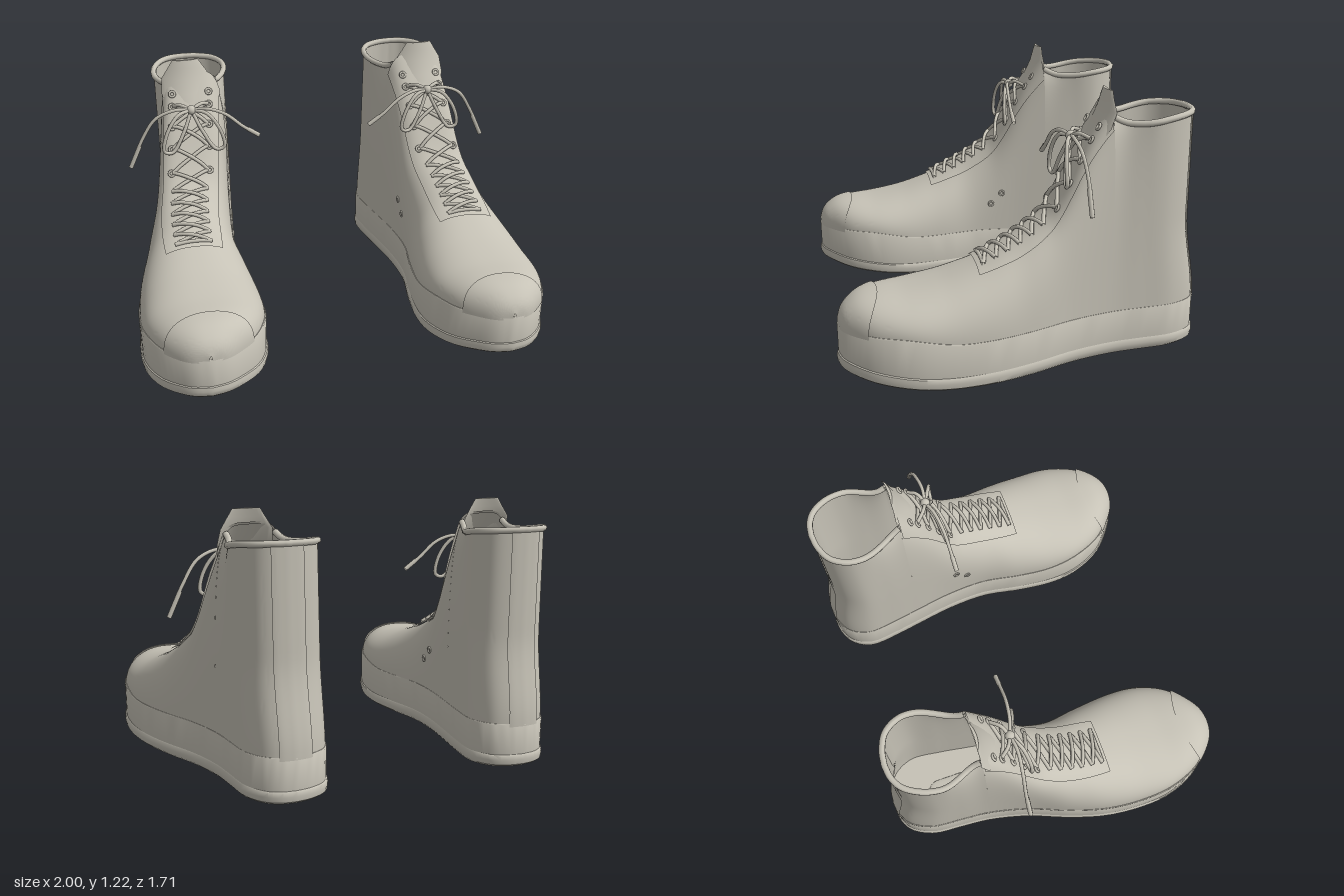
import * as THREE from 'three';
import { toCreasedNormals } from 'three/addons/utils/BufferGeometryUtils.js';

const V = (x, y, z) => new THREE.Vector3(x, y, z);
const step = THREE.MathUtils.smoothstep;
const lerp = THREE.MathUtils.lerp;

// Smooth curve y(x) through a few [x, y] knots
function spline(k) {
  const slope = (i) => {
    const a = k[Math.max(i - 1, 0)], b = k[Math.min(i + 1, k.length - 1)];
    return (b[1] - a[1]) / (b[0] - a[0]);
  };
  return (x) => {
    x = Math.min(Math.max(x, k[0][0]), k[k.length - 1][0]);
    let i = 0;
    while (i < k.length - 2 && x > k[i + 1][0]) i++;
    const w = k[i + 1][0] - k[i][0], t = (x - k[i][0]) / w, t2 = t * t, t3 = t2 * t;
    return (2 * t3 - 3 * t2 + 1) * k[i][1] + (t3 - 2 * t2 + t) * w * slope(i)
      + (3 * t2 - 2 * t3) * k[i + 1][1] + (t3 - t2) * w * slope(i + 1);
  };
}

// Surface from a function of (u, v), both 0..1
function grid(nu, nv, fn, crease = 0.7) {
  const pos = [], idx = [];
  for (let j = 0; j <= nv; j++)
    for (let i = 0; i <= nu; i++) pos.push(...fn(i / nu, j / nv).toArray());
  for (let j = 0; j < nv; j++)
    for (let i = 0; i < nu; i++) {
      const a = j * (nu + 1) + i, b = a + nu + 1;
      idx.push(a, a + 1, b, a + 1, b + 1, b);
    }
  const g = new THREE.BufferGeometry();
  g.setAttribute('position', new THREE.Float32BufferAttribute(pos, 3));
  g.setIndex(idx);
  return toCreasedNormals(g, crease);
}

// Plan outline of the shoe: inner edge, outer edge, z
const outline = new THREE.CatmullRomCurve3([
  [0.575, 0.575, -0.857], [0.5, 0.645, -0.845], [0.42, 0.71, -0.8], [0.372, 0.76, -0.7],
  [0.385, 0.775, -0.55], [0.41, 0.79, -0.4], [0.44, 0.84, -0.2], [0.445, 0.92, 0],
  [0.41, 0.98, 0.2], [0.39, 1.0, 0.4], [0.405, 0.99, 0.55], [0.47, 0.935, 0.7],
  [0.575, 0.85, 0.8], [0.64, 0.79, 0.84], [0.715, 0.715, 0.857],
].map((p) => V(...p)));

function plan(u, inset) {
  const p = outline.getPoint(u);
  return { c: (p.x + p.y) / 2, hw: (p.y - p.x) / 2 * (1 - inset / 0.3), z: p.z * (1 - inset / 0.857) };
}
function uAt(z) {
  let a = 0, b = 1;
  for (let i = 0; i < 30; i++) {
    const m = (a + b) / 2;
    if (plan(m, 0.012).z < z) a = m; else b = m;
  }
  return a;
}

const ridge = spline([[-0.39, 1.15], [-0.34, 1.07], [-0.29, 0.99], [-0.24, 0.9], [-0.2, 0.82], [-0.15, 0.73],
  [-0.1, 0.665], [0, 0.595], [0.1, 0.54], [0.2, 0.49], [0.3, 0.452], [0.4, 0.42], [0.55, 0.39],
  [0.68, 0.38], [0.75, 0.365], [0.8, 0.335], [0.83, 0.3], [0.847, 0.255]]);
const collar = spline([[-0.84, 1.11], [-0.7, 1.1], [-0.55, 1.08], [-0.47, 1.08], [-0.42, 1.095], [-0.39, 1.11]]);
const toeSpring = (z) => 0.05 * Math.pow(Math.max(0, z - 0.35) / 0.5, 1.5);
const lipTop = (z) => 0.065 + toeSpring(z);
const bandTop = (z) => 0.21 + 0.04 * step(z, 0.3, 0.62);
const base = (z) => bandTop(z) - 0.015;
const power = (z) => lerp(4.5, 2.3, step(z, -0.39, 0.1));
const uc = uAt(-0.39);

// Point on the closed front of the upper; q runs -1..1 across the width
function front(u, q, off = 0) {
  const { c, hw, z } = plan(u, 0.012), p = power(z), b = base(z);
  const s = Math.pow(Math.max(0, 1 - Math.abs(q) ** p), 1 / p);
  const taper = 1 - 0.06 * s * step(-z, 0, 0.39);
  return V(c + q * (hw + off) * taper, b + s * (ridge(z) + off - b), z + off * 0.6);
}
// Point on the open ankle shaft; w runs -1..1 around the heel
function shaft(w, v, off = 0) {
  const { c, hw, z } = plan(Math.abs(w) * uc, 0.012), b = base(z), p = 4.5;
  const y = b + v * (collar(z) - b), blend = step(z, -0.62, -0.39);
  const f = lerp(1 - 0.03 * v, Math.pow(1 - (0.96 * v) ** p, 1 / p) * (1 - 0.06 * v), blend);
  const zz = z - (z + 0.39) * 0.11 * step(y, 0.2, 0.62) - off;
  return V(c + Math.sign(w) * (hw + off) * f + 0.012 * v * (1 - blend), y, zz);
}

// Closed band around the outline from rows of [inset, height(z)]
function band(rows) {
  return grid(96, rows.length - 1, (t, v) => {
    const [d, y] = rows[Math.round(v * (rows.length - 1))];
    const a = t * 2, o = plan(a <= 1 ? a : 2 - a, d);
    return V(o.c + (a <= 1 ? 1 : -1) * o.hw, y(o.z), o.z);
  });
}

function createShoe(mat) {
  const shoe = new THREE.Group();
  const add = (name, geo) => {
    const m = new THREE.Mesh(geo, mat);
    m.name = name;
    shoe.add(m);
    return m;
  };
  const tube = (name, pts, r, n = 24) =>
    add(name, new THREE.TubeGeometry(new THREE.CatmullRomCurve3(pts), n, r, 8));

  // Sole, rubber band and insole
  add('outsole', band([[0.3, toeSpring], [0.02, toeSpring], [0.004, (z) => toeSpring(z) + 0.012],
    [0, (z) => lipTop(z) - 0.03], [0.003, (z) => lipTop(z) - 0.01], [0.014, lipTop]]));
  add('midsoleBand', band([[0.008, (z) => lipTop(z) - 0.008], [0.006, (z) => bandTop(z) - 0.006],
    [0.01, bandTop], [0.07, bandTop]]));
  add('insole', band([[0.02, () => 0.215], [0.3, () => 0.215]]));
  const pad = add('heelPad', new THREE.CapsuleGeometry(0.055, 0.3, 6, 16).rotateX(Math.PI / 2));
  pad.scale.y = 0.1;
  pad.position.set(0.59, 0.216, -0.45);

  // Upper
  add('vamp', grid(48, 70, (t, v) => {
    const u = lerp(uc, 1, v), a = Math.sin((t - 0.5) * Math.PI);
    return front(u, Math.sign(a) * Math.abs(a) ** (2 / power(plan(u, 0).z)));
  }, 1.2));
  add('ankleShaft', grid(80, 24, (t, v) => shaft(t * 2 - 1, v), 1.2));
  add('heelStrip', grid(16, 24, (t, v) => shaft((t * 2 - 1) * 0.2, v, 0.006), 1.2));
  const rim = [];
  for (let i = 0; i <= 40; i++) rim.push(shaft(i / 20 - 1, 1));
  tube('collarRim', rim, 0.015, 100);
  const u0 = uAt(0.665);
  add('toeCap', grid(40, 24, (t, v) => {
    const a = Math.sin((t - 0.5) * Math.PI), q = Math.sign(a) * Math.abs(a) ** 0.87;
    return front(lerp(u0 + 0.035 * q * q, 1, v), q, 0.007);
  }, 1.2));

  // Lacing panel and tongue
  const uPanel = uAt(0.23);
  add('lacingPanel', grid(24, 40, (t, v) =>
    front(lerp(uPanel, uc, v), (t * 2 - 1) * lerp(0.48, 0.82, v), 0.008), 1.2));
  const rows = [[0.96, -0.275, 0.11], [1.06, -0.325, 0.13], [1.13, -0.358, 0.122], [1.18, -0.372, 0.09], [1.22, -0.383, 0.065]];
  add('tongue', grid(32, rows.length, (t, v) => {
    const k = Math.round(v * rows.length), [y, z, w] = rows[Math.min(k, rows.length - 1)];
    const a = t * Math.PI * 2, s = Math.cos(a), thick = k === rows.length ? 0 : 0.007;
    return V(0.622 + s * w, y, z - 0.35 * (s * w) ** 2 / 0.13 + Math.sin(a) * thick);
  }, 1));

  // Criss-cross laces and eyelets
  const zs = [0.2, 0.145, 0.09, 0.035, -0.02, -0.075, -0.14, -0.2, -0.25, -0.3];
  const onLace = (z, dx, off) => {
    const u = uAt(z);
    return front(u, dx / plan(u, 0.012).hw, off);
  };
  for (let i = 0; i < zs.length - 1; i++)
    for (const s of [-1, 1]) {
      const pts = [];
      for (let k = 0; k <= 6; k++) {
        const t = k / 6;
        pts.push(onLace(lerp(zs[i], zs[i + 1], t), s * lerp(-0.085, 0.085, t),
          0.012 + Math.sin(t * Math.PI) * (s > 0 ? 0.014 : 0.004)));
      }
      tube('lace', pts, 0.0095, 12);
    }
  tube('laceBar', [-0.085, -0.03, 0.03, 0.085].map((dx) => onLace(0.2, dx, 0.014)), 0.0095, 10);
  for (const z of [-0.14, -0.2, -0.25, -0.3, -0.335])
    for (const s of [-1, 1]) {
      const e = add('eyelet', new THREE.TorusGeometry(0.014, 0.006, 8, 16));
      e.position.copy(onLace(z, s * 0.092, 0.012));
      e.rotation.x = -0.5;
    }

  // Bow: knot, two hanging loops, two loose ends with tips
  const knot = V(0.622, 1.01, -0.225);
  const ball = add('bowKnot', new THREE.SphereGeometry(0.024, 16, 12));
  ball.position.copy(knot);
  for (const s of [-1, 1]) {
    tube('bowLoop', [knot, V(0.622 + s * 0.07, 1.0, -0.19), V(0.622 + s * 0.135, 0.91, -0.17),
      V(0.622 + s * 0.15, 0.82, -0.17), V(0.622 + s * 0.11, 0.81, -0.175),
      V(0.622 + s * 0.05, 0.9, -0.19), knot], 0.0095, 40);
    tube('laceAnchor', [onLace(-0.3, s * 0.085, 0.014), V(0.622 + s * 0.05, 1.03, -0.25), knot], 0.0095, 12);
  }
  const ends = [
    [knot, V(0.55, 1.02, -0.2), V(0.46, 0.99, -0.185), V(0.37, 0.915, -0.18), V(0.29, 0.86, -0.18)],
    [knot, V(0.7, 1.02, -0.215), V(0.8, 0.98, -0.225), V(0.87, 0.88, -0.235), V(0.942, 0.725, -0.235)],
  ];
  for (const e of ends) {
    tube('looseLace', e, 0.009, 30);
    tube('laceTip', [e[3].clone().lerp(e[4], 0.25), e[4]], 0.0115, 4);
  }

  // Vent holes on the inner side
  for (const z of [-0.09, -0.15]) {
    const vent = add('ventRing', new THREE.TorusGeometry(0.013, 0.005, 8, 16));
    vent.position.copy(front(uAt(z), -0.985, 0.002));
    vent.rotation.y = Math.PI / 2;
  }
  return shoe;
}

export function createModel() {
  const canvas = new THREE.MeshStandardMaterial({ color: 0xc6c2b6, side: THREE.DoubleSide });
  canvas.name = 'warm grey';
  const model = new THREE.Group();
  model.name = 'highTopShoes';
  const left = createShoe(canvas);
  left.name = 'leftShoe';
  const right = createShoe(canvas);
  right.name = 'rightShoe';
  right.scale.x = -1;
  model.add(left, right);
  return model;
}
